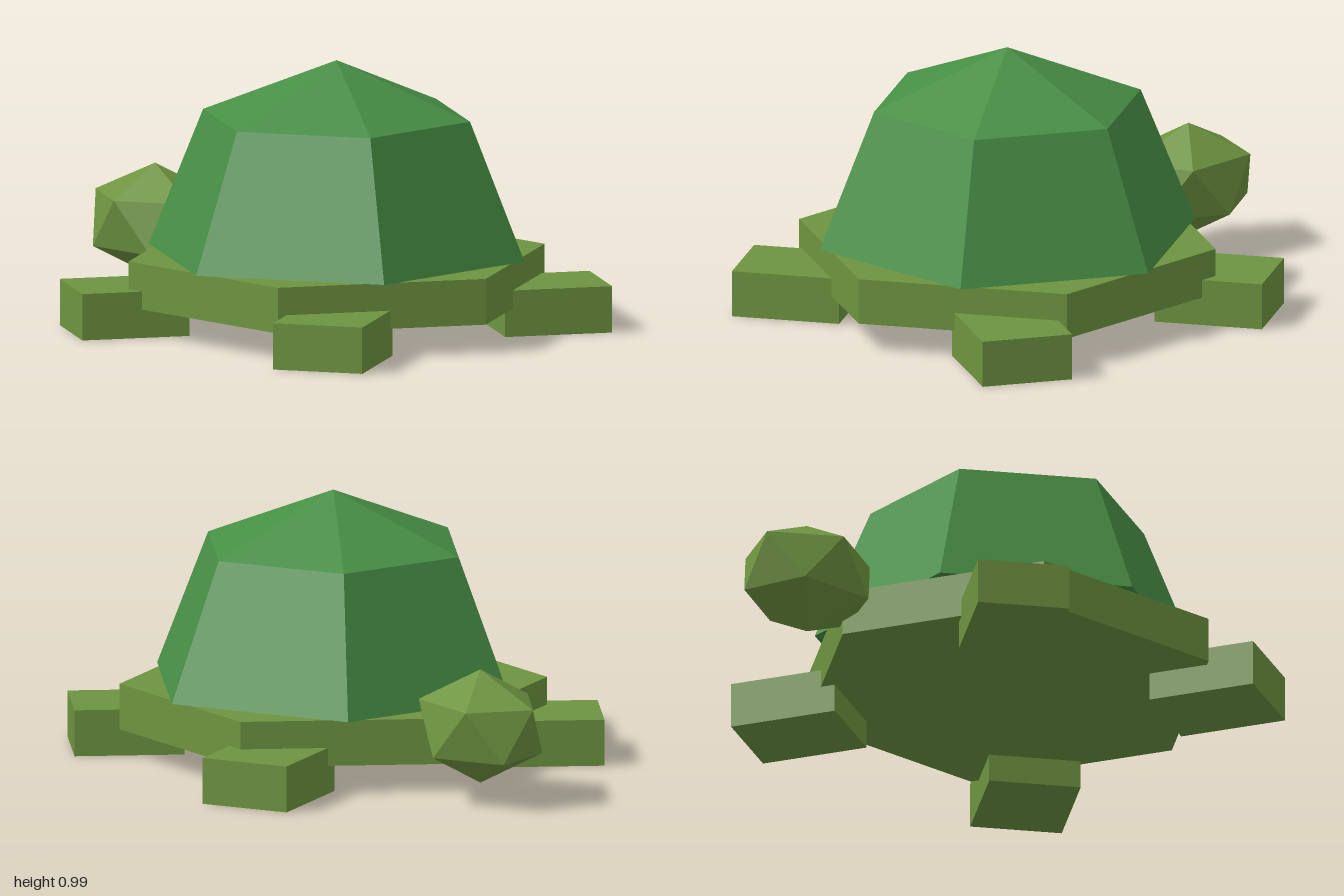
import * as THREE from 'three';

export function createModel() {
  const skin = new THREE.MeshStandardMaterial({ color: 0x6e9440, flatShading: true });
  skin.name = 'olive skin';
  const green = new THREE.MeshStandardMaterial({ color: 0x478f45, flatShading: true });
  green.name = 'shell green';

  const model = new THREE.Group();
  model.name = 'turtle';
  const add = (name, geometry, material, x, y, z) => {
    const mesh = new THREE.Mesh(geometry, material);
    mesh.name = name;
    mesh.position.set(x, y, z);
    model.add(mesh);
    return mesh;
  };

  // Hexagonal domed shell, closed underneath
  const profile = [[0, 0.275], [0.715, 0.275], [0.508, 0.785], [0, 0.99]]
    .map(([r, y]) => new THREE.Vector2(r, y));
  add('shell', new THREE.LatheGeometry(profile, 6, Math.PI / 6), green, 0, 0, 0.2);

  // Flat hexagonal body with corners on the z axis
  add('body', new THREE.CylinderGeometry(0.785, 0.785, 0.17, 6), skin, 0, 0.19, 0.2);

  // Faceted head, one corner pointing straight up, stretched along z
  const headGeometry = new THREE.IcosahedronGeometry(1, 0);
  headGeometry.rotateZ(Math.atan(2 / (1 + Math.sqrt(5))));
  headGeometry.scale(0.235, 0.2125, 0.288);
  add('head', headGeometry, skin, 0, 0.278, -0.755);

  // Four splayed block legs, mirrored left and right
  const legGeometry = new THREE.BoxGeometry(0.404, 0.172, 0.34);
  const legs = [['headEndLeg', 0.615, -0.28, 1], ['tailEndLeg', 0.547, 0.744, -1]];
  for (const [name, x, z, turn] of legs) {
    for (const side of [1, -1]) {
      const leg = add(name + (side > 0 ? 'Left' : 'Right'), legGeometry, skin, side * x, 0.086, z);
      leg.rotation.y = side * turn * Math.PI / 6;
    }
  }
  return model;
}
